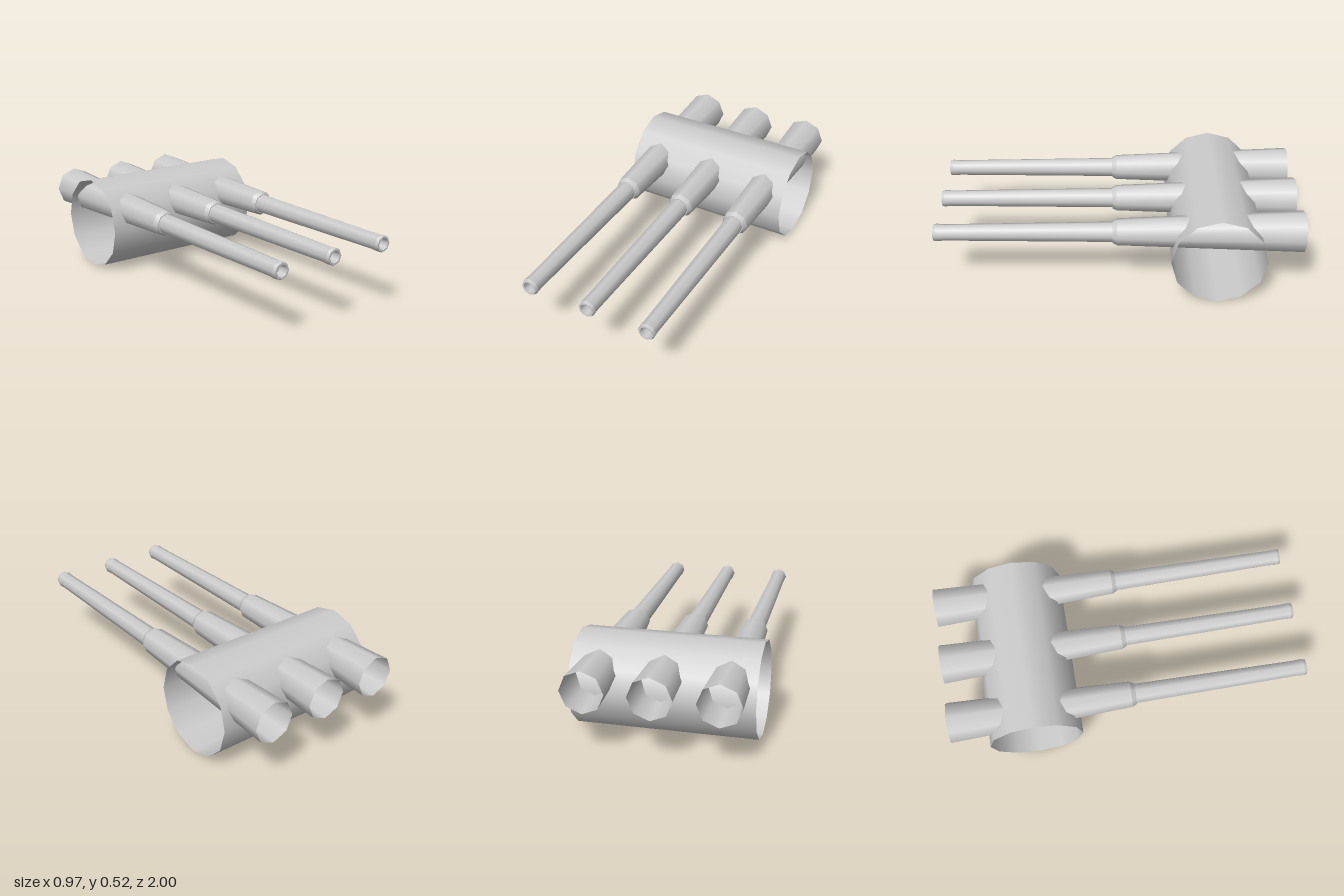
import * as THREE from 'three';

const material = new THREE.MeshStandardMaterial({ color: 0xcccccc, side: THREE.DoubleSide });

// Eight-sided surface of revolution along z; each band is its own mesh so edges between bands stay sharp
function band(name, points) {
  const geometry = new THREE.LatheGeometry(points.map(([r, z]) => new THREE.Vector2(r, z)), 8);
  geometry.rotateX(Math.PI / 2);
  const mesh = new THREE.Mesh(geometry, material);
  mesh.name = name;
  return mesh;
}

function createBarrel() {
  const barrel = new THREE.Group();
  barrel.name = 'barrel';
  barrel.add(
    band('rearSleeve', [[0.115, -1], [0.074, 0.01]]),
    band('sleeveChamfer', [[0.074, 0.01], [0.061, 0.035]]),
    band('sleeveFace', [[0.061, 0.035], [0.056, 0.035]]),
    band('frontTube', [[0.056, 0.035], [0.045, 0.94], [0.048, 0.985]]),
    band('muzzleChamfer', [[0.048, 0.985], [0.043, 1]]),
    band('muzzleFace', [[0.043, 1], [0.033, 1]]),
    band('bore', [[0.033, 1], [0.027, 0.95]]),
    band('boreEnd', [[0.027, 0.95], [0, 0.95]])
  );
  return barrel;
}

export function createModel() {
  const model = new THREE.Group();
  model.name = 'tripleBarrelMount';

  // Open twelve-sided drum lying across the barrels
  const drumGeometry = new THREE.CylinderGeometry(0.26, 0.26, 0.972, 12, 1, true);
  drumGeometry.rotateZ(Math.PI / 2);
  const drum = new THREE.Mesh(drumGeometry, material);
  drum.name = 'drum';
  drum.position.set(0, 0.26, -0.54);
  model.add(drum);

  // Three parallel barrels running through the drum
  for (const x of [-0.343, 0, 0.343]) {
    const barrel = createBarrel();
    barrel.position.set(x, 0.367, 0);
    model.add(barrel);
  }
  return model;
}
